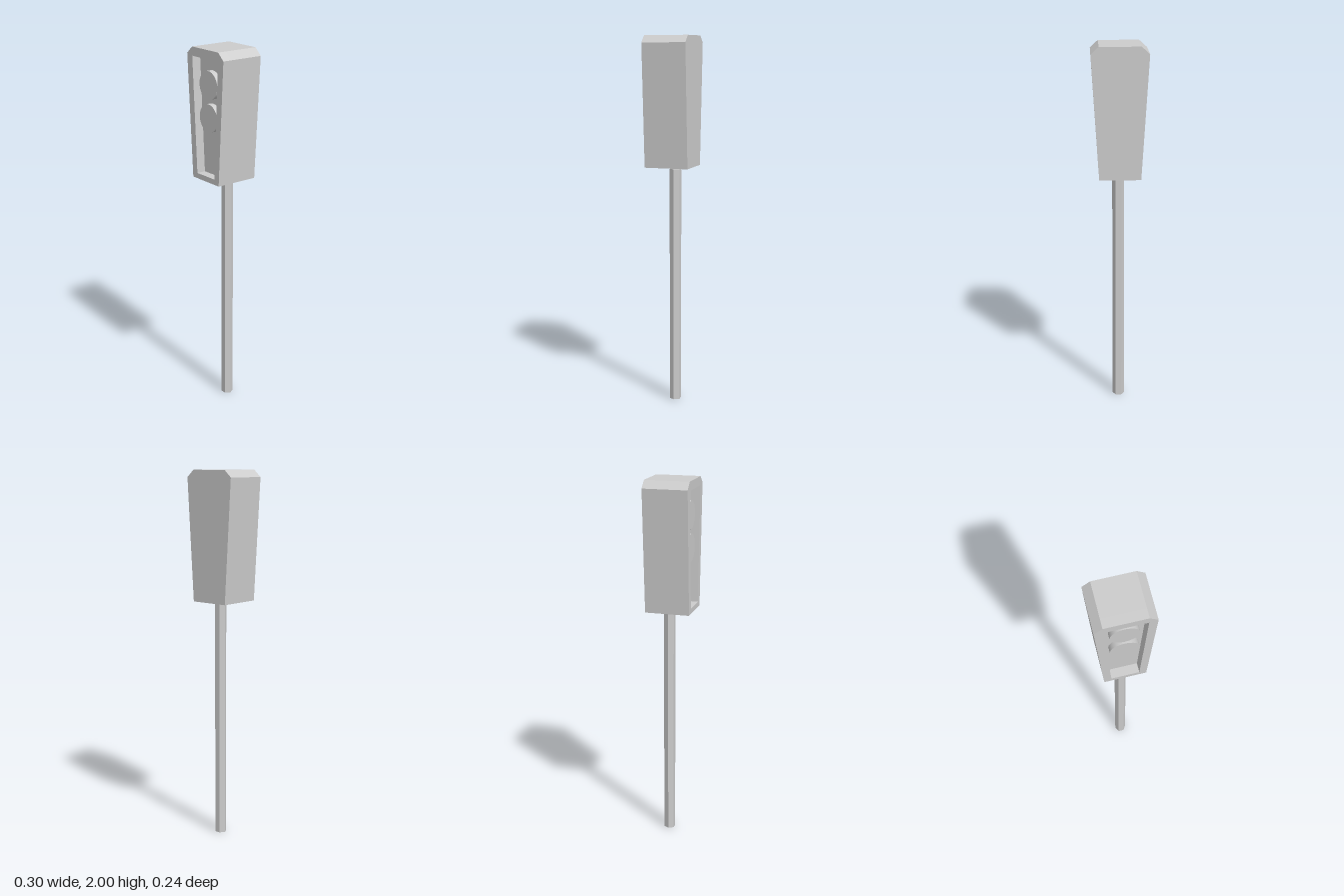
import * as THREE from 'three';

const material = new THREE.MeshStandardMaterial({ color: 0xcccccc, flatShading: true });
const smooth = new THREE.MeshStandardMaterial({ color: 0xcccccc });

const HALF_DEPTH = 0.12;
const RECESS = 0.05;

// Symmetric outline from right-hand [x, y] points listed bottom to top
function mirrored(points, Type) {
  const left = points.map(([x, y]) => [-x, y]).reverse();
  return new Type([...points, ...left].map(([x, y]) => new THREE.Vector2(x, y)));
}

function addMesh(parent, name, geometry, mat = material) {
  const mesh = new THREE.Mesh(geometry, mat);
  mesh.name = name;
  parent.add(mesh);
  return mesh;
}

function slab(shape, zBack, zFront) {
  const geometry = new THREE.ExtrudeGeometry(shape, { depth: zFront - zBack, bevelEnabled: false });
  return geometry.translate(0, 0, zBack);
}

export function createModel() {
  const model = new THREE.Group();
  model.name = 'signalLight';

  // Hexagonal pole, slightly off the housing's centre
  const pole = addMesh(model, 'pole', new THREE.CylinderGeometry(0.032, 0.032, 1.294, 6, 1, false, Math.PI / 2));
  pole.position.set(0.007, 0.647, -0.019);

  // Tapered housing with chamfered top: solid back and a front rim around the recess
  const housing = new THREE.Group();
  housing.name = 'housing';
  model.add(housing);
  const outline = [[0.11, 1.306], [0.15, 1.962], [0.108, 2]];
  const recess = [[0.073, 1.335], [0.107, 1.953]];
  const rim = mirrored(outline, THREE.Shape);
  rim.holes.push(mirrored(recess, THREE.Path));
  addMesh(housing, 'housingBody', slab(mirrored(outline, THREE.Shape), -HALF_DEPTH, HALF_DEPTH - RECESS));
  addMesh(housing, 'housingRim', slab(rim, HALF_DEPTH - RECESS, HALF_DEPTH));

  // Two round lamps standing proud of the recess floor
  [['upperLamp', 1.815], ['lowerLamp', 1.643]].forEach(([name, y]) => {
    const lamp = addMesh(model, name, new THREE.CylinderGeometry(0.074, 0.074, 0.03, 32), smooth);
    lamp.rotation.x = Math.PI / 2;
    lamp.position.set(0, y, HALF_DEPTH - RECESS + 0.015);
  });

  return model;
}
